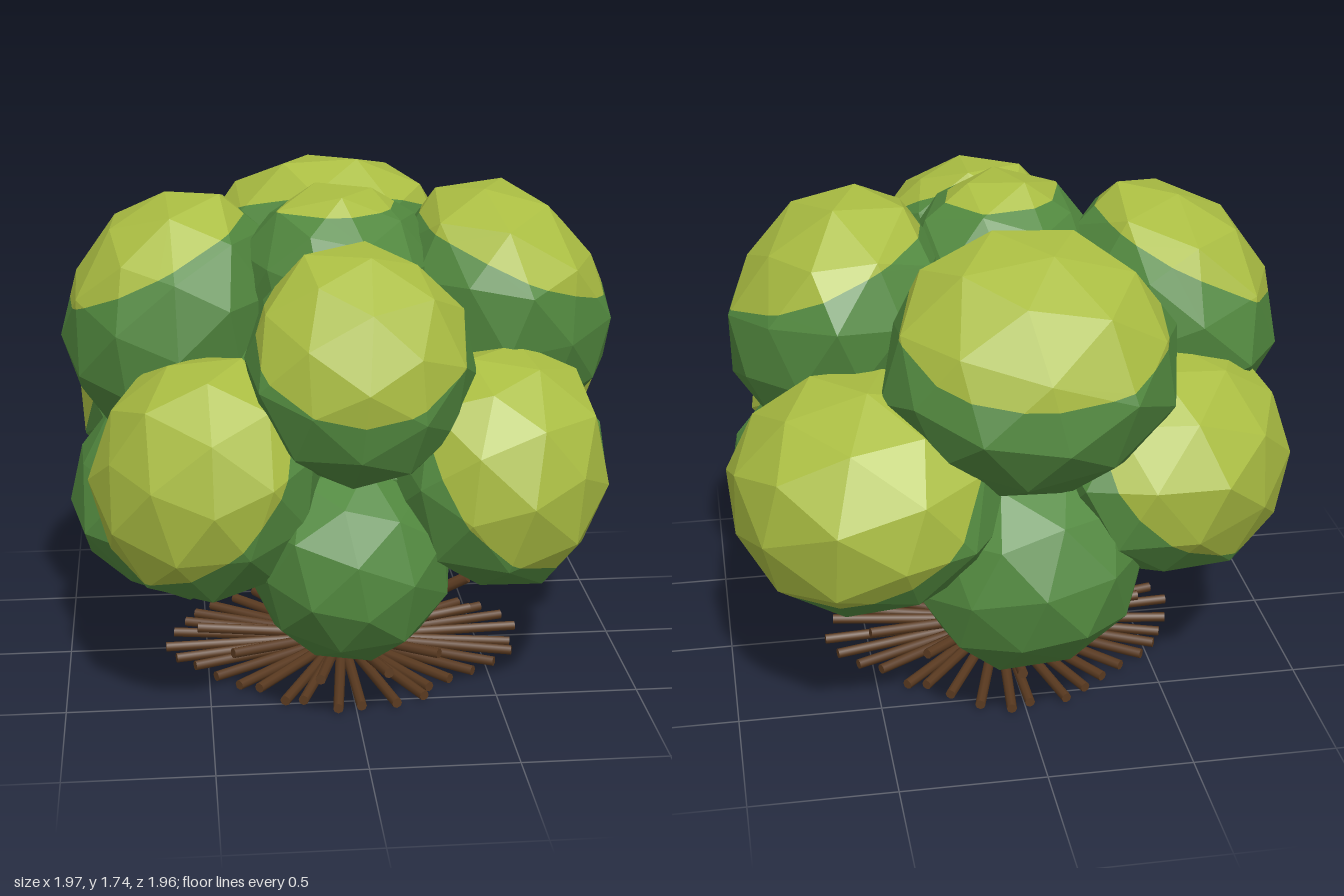
import * as THREE from 'three';

const leafGreen = new THREE.MeshStandardMaterial({ color: 0x52893f });
const leafLime = new THREE.MeshStandardMaterial({ color: 0xaabd42 });
const bark = new THREE.MeshStandardMaterial({ color: 0x5a3a20 });
leafGreen.name = 'leafGreen';
leafLime.name = 'leafLime';
bark.name = 'bark';
leafGreen.flatShading = leafLime.flatShading = true;

const heart = new THREE.Vector3(0, 0.8, 0); // middle of the foliage

// repeatable pseudo-random value in 0..1
const hash = (n) => {
  const s = Math.sin(n * 127.1 + 11.7) * 43758.5453;
  return s - Math.floor(s);
};

// keep the part of a convex polygon where side(p) >= 0
function clip(poly, side) {
  const out = [];
  poly.forEach((a, i) => {
    const b = poly[(i + 1) % poly.length];
    const sa = side(a), sb = side(b);
    if (sa >= 0) out.push(a);
    if (sa * sb < 0) out.push(a.clone().lerp(b, sa / (sa - sb)));
  });
  return out;
}

// faceted leaf clump, flattened away from the heart and cut into a lime cap and a green body
function leafClump({ name, at, size, squash = 1, cap = [0, 1, 0], cut = 2 }, seed) {
  const ball = new THREE.IcosahedronGeometry(1, 1);
  ball.rotateY(seed * 0.9).rotateX(seed * 0.37);
  const src = ball.attributes.position;
  const axis = new THREE.Vector3(...cap).normalize();
  const outward = new THREE.Vector3(...at).sub(heart).normalize();
  const scale = new THREE.Vector3(...size);
  const parts = [[], []];
  const corner = (i) => {
    const p = new THREE.Vector3().fromBufferAttribute(src, i);
    const key = Math.round(p.x * 50) + Math.round(p.y * 50) * 3.3 + Math.round(p.z * 50) * 7.7;
    return p.multiplyScalar(0.98 + 0.08 * hash(key + seed));
  };
  const shape = (p) => p.clone().addScaledVector(outward, (squash - 1) * p.dot(outward)).multiply(scale);
  for (let i = 0; i < src.count; i += 3) {
    const tri = [corner(i), corner(i + 1), corner(i + 2)];
    [-1, 1].forEach((sign, k) => {
      const poly = clip(tri, (p) => sign * (p.dot(axis) - cut));
      for (let j = 1; j + 1 < poly.length; j++) {
        parts[k].push(shape(poly[0]), shape(poly[j]), shape(poly[j + 1]));
      }
    });
  }
  const geo = new THREE.BufferGeometry().setFromPoints([...parts[0], ...parts[1]]);
  geo.computeVertexNormals();
  geo.addGroup(0, parts[0].length, 0);
  geo.addGroup(parts[0].length, parts[1].length, 1);
  const mesh = new THREE.Mesh(geo, [leafGreen, leafLime]);
  mesh.name = name;
  mesh.position.set(...at);
  return mesh;
}

const clumps = [
  // crown
  { name: 'crownClump', at: [-0.02, 1.4, 0.09], size: [0.35, 0.34, 0.36], cut: 0.8 },
  // upper ring
  { name: 'upperLeftClump', at: [0.56, 1.31, 0.03], size: [0.42, 0.44, 0.45], squash: 0.85, cap: [0.3, 1, 0.05], cut: 0.46 },
  { name: 'upperRightClump', at: [-0.6, 1.29, -0.02], size: [0.42, 0.45, 0.46], squash: 0.85, cap: [-0.38, 1, 0], cut: 0.5 },
  { name: 'upperFrontClump', at: [0, 1.26, 0.62], size: [0.37, 0.4, 0.385], squash: 0.85, cap: [0, 0.85, 0.55], cut: 0.36 },
  { name: 'upperBackClump', at: [-0.01, 1.32, -0.57], size: [0.48, 0.45, 0.44], squash: 0.85, cap: [0, 1, -0.35], cut: 0.4 },
  // middle ring, on the diagonals
  { name: 'middleFrontLeftClump', at: [0.48, 0.87, 0.54], size: [0.39, 0.41, 0.39], squash: 0.93, cap: [0.75, 0.75, 0.75], cut: 0.18 },
  { name: 'middleFrontRightClump', at: [-0.5, 0.87, 0.56], size: [0.4, 0.41, 0.41], squash: 0.9, cap: [-0.75, 0.75, 0.75], cut: 0.18 },
  { name: 'middleBackLeftClump', at: [0.54, 0.88, -0.53], size: [0.5, 0.4, 0.48], squash: 0.85, cap: [0.7, 0.75, -0.7], cut: 0.16 },
  { name: 'middleBackRightClump', at: [-0.51, 0.89, -0.45], size: [0.47, 0.4, 0.46], squash: 0.87, cap: [-0.75, 0.7, -0.7], cut: 0.24 },
  // lower ring, all green
  { name: 'lowerLeftClump', at: [0.6, 0.67, -0.03], size: [0.38, 0.39, 0.33] },
  { name: 'lowerRightClump', at: [-0.59, 0.63, 0], size: [0.39, 0.39, 0.37] },
  { name: 'lowerFrontClump', at: [-0.03, 0.58, 0.58], size: [0.34, 0.35, 0.36] },
  { name: 'lowerBackClump', at: [0, 0.61, -0.58], size: [0.39, 0.38, 0.37] },
  // filling behind the rings
  { name: 'innerClump', at: [0, 0.83, 0], size: [0.67, 0.58, 0.67] },
];

// tiers of branches fanning out from the root, flat to steep
const tiers = [
  { name: 'groundBranch', count: 36, length: 0.59, angle: 0, radius: 0.02 },
  { name: 'lowBranch', count: 9, length: 0.47, angle: 0.07, radius: 0.021 },
  { name: 'slantedBranch', count: 16, length: 0.54, angle: 0.62, radius: 0.024 },
  { name: 'risingBranch', count: 12, length: 0.58, angle: 0.88, radius: 0.026 },
  { name: 'steepBranch', count: 7, length: 0.6, angle: 1.2, radius: 0.03 },
];

function branchTier({ name, count, length, angle, radius }, t) {
  const group = new THREE.Group();
  group.name = name + 'es';
  for (let i = 0; i < count; i++) {
    const r = hash(i + t * 53);
    const turn = ((i + 0.5 * r) / count) * Math.PI * 2;
    const tilt = angle * (1 + (hash(i * 3 + t) - 0.5) * 0.4);
    const long = length * (0.94 + 0.08 * r) * (1 + 0.05 * Math.cos(2 * turn) + 0.07 * Math.cos(4 * turn));
    const geo = new THREE.CylinderGeometry(radius * 0.9, radius, long, 8);
    geo.translate(0, long / 2, 0).rotateZ(tilt - Math.PI / 2).rotateY(turn);
    const mesh = new THREE.Mesh(geo, bark);
    mesh.name = name;
    mesh.position.y = 0.02 + (t ? 0.012 : 0);
    group.add(mesh);
  }
  return group;
}

export function createModel() {
  const model = new THREE.Group();
  model.name = 'bush';
  const foliage = new THREE.Group();
  foliage.name = 'foliage';
  clumps.forEach((c, i) => foliage.add(leafClump(c, i + 1)));
  const branches = new THREE.Group();
  branches.name = 'branches';
  tiers.forEach((tier, t) => branches.add(branchTier(tier, t)));
  model.add(foliage, branches);
  return model;
}
